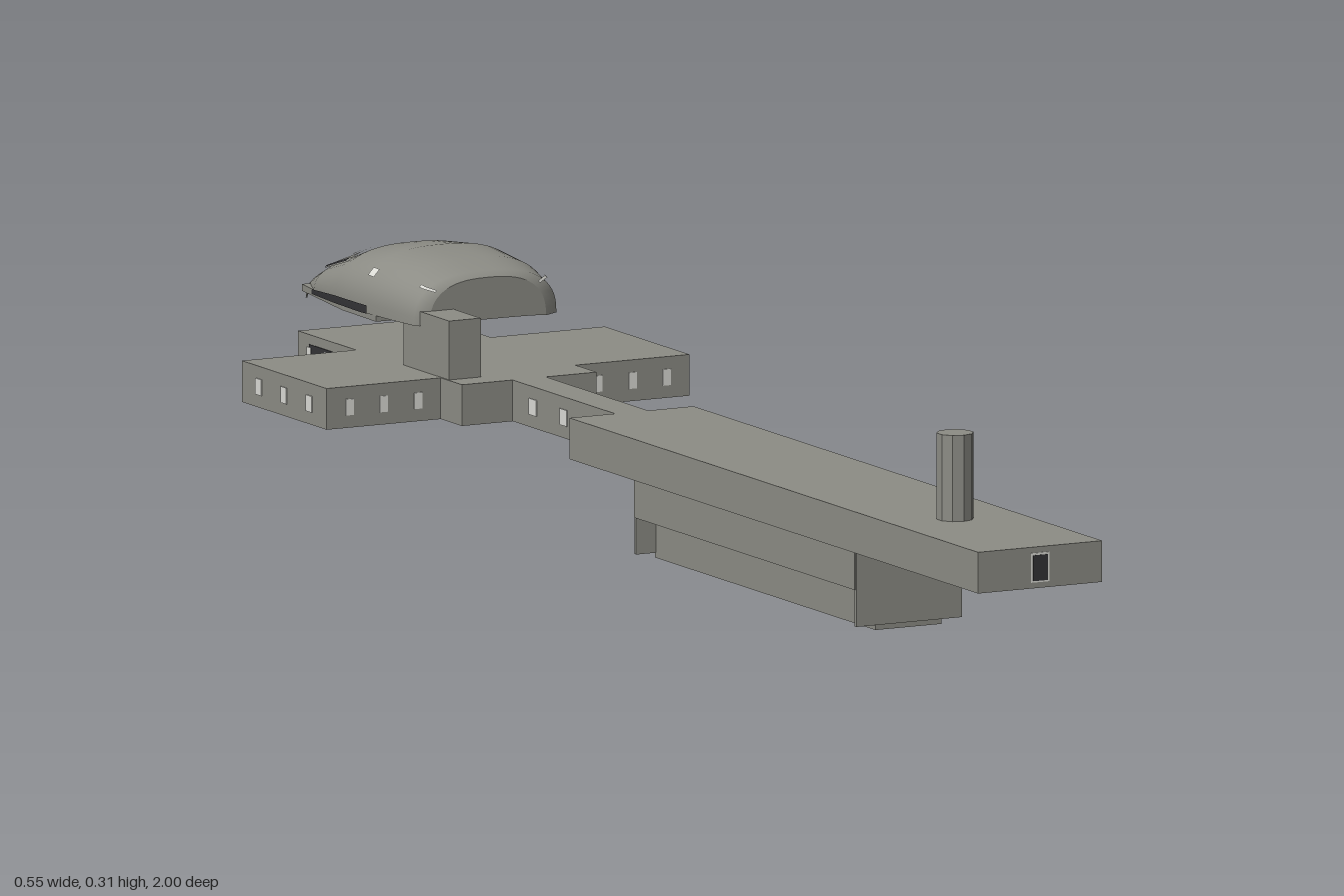
import * as THREE from 'three';

const material = (name, color) => {
  const m = new THREE.MeshStandardMaterial({ color });
  m.name = name;
  return m;
};

// Shuttle sections: z, half width, edge y, top y, underside centre y
const SECTIONS = [
  [-0.567, 0.088, 0.228, 0.287, 0.23],
  [-0.575, 0.108, 0.229, 0.295, 0.23],
  [-0.62, 0.117, 0.23, 0.306, 0.231],
  [-0.70, 0.123, 0.23, 0.311, 0.231],
  [-0.78, 0.118, 0.229, 0.302, 0.23],
  [-0.87, 0.102, 0.225, 0.27, 0.228],
  [-0.92, 0.084, 0.217, 0.25, 0.226],
  [-0.96, 0.066, 0.203, 0.238, 0.222],
  [-1.0, 0.042, 0.195, 0.22, 0.212],
];

function sectionAt(z) {
  let i = 0;
  while (i < SECTIONS.length - 2 && z < SECTIONS[i + 1][0]) i++;
  const a = SECTIONS[i], b = SECTIONS[i + 1];
  const t = (z - a[0]) / (b[0] - a[0]);
  return a.map((n, k) => n + (b[k] - n) * t);
}

// Point on the domed top; u runs from the left edge (+x) over to the right
function domePoint(u, z, lift = 0) {
  const [, w, edge, top] = sectionAt(z);
  const c = Math.cos(Math.PI * u), s = Math.max(0, Math.sin(Math.PI * u));
  return [
    (w + lift) * Math.sign(c) * Math.abs(c) ** 0.77,
    edge + (top - edge + lift) * s ** 0.77,
    z,
  ];
}

// Arched underside below the same edge
function bellyPoint(u, z) {
  const [, , edge, , centre] = sectionAt(z);
  const [x] = domePoint(u, z);
  return [x, edge + (centre - edge) * Math.sin(Math.PI * u), z];
}

// Grid surface from a rule (u, v) -> point
function surface(rule, nu, vs) {
  const positions = [], index = [];
  vs.forEach((v, i) => {
    for (let j = 0; j <= nu; j++) {
      positions.push(...rule(j / nu, v));
      if (i && j) {
        const d = i * (nu + 1) + j, c = d - 1, b = d - nu - 1, a = b - 1;
        index.push(a, c, b, b, c, d);
      }
    }
  });
  const g = new THREE.BufferGeometry();
  g.setAttribute('position', new THREE.Float32BufferAttribute(positions, 3));
  g.setIndex(index);
  g.computeVertexNormals();
  return g;
}

// Horizontal plate from an [x, z] outline
function plate(points, y0, y1) {
  const shape = new THREE.Shape(points.map(([x, z]) => new THREE.Vector2(x, -z)));
  const g = new THREE.ExtrudeGeometry(shape, { depth: y1 - y0, bevelEnabled: false });
  return g.rotateX(-Math.PI / 2).translate(0, y0, 0);
}

export function createModel() {
  const model = new THREE.Group();
  model.name = 'spaceDock';
  const grey = material('warmGrey', 0x8c8c85);
  const dark = material('darkOpening', 0x333336);
  const light = material('paleLight', 0xdcdcd6);

  const add = (name, geometry, mat = grey, parent = model) => {
    const mesh = new THREE.Mesh(geometry, mat);
    mesh.name = name;
    parent.add(mesh);
    return mesh;
  };
  const box = (name, x0, x1, y0, y1, z0, z1, mat) => add(name,
    new THREE.BoxGeometry(x1 - x0, y1 - y0, z1 - z0)
      .translate((x0 + x1) / 2, (y0 + y1) / 2, (z0 + z1) / 2), mat);

  // Long deck, narrow neck and cross-shaped landing platform in one slab
  const half = [
    [0.094, 0.998], [0.094, -0.16], [0.025, -0.16], [0.025, -0.45], [0.102, -0.45],
    [0.102, -0.51], [0.275, -0.51], [0.275, -0.75], [0.102, -0.75], [0.102, -0.915],
  ];
  const outline = [...half, ...half.map(([x, z]) => [-x, z]).reverse()];
  add('deckAndPlatform', plate(outline, 0.112, 0.168));

  // Lit panels on the neck and platform sides, dark bays around the rear arm
  outline.forEach(([x0, z0], i) => {
    const [x1, z1] = outline[(i + 1) % outline.length];
    const length = Math.hypot(x1 - x0, z1 - z0);
    if (Math.max(z0, z1) > -0.1 || length < 0.1) return;
    const strip = (name, t, size, height, depth, mat) => {
      const x = x0 + (x1 - x0) * t, z = z0 + (z1 - z0) * t;
      const [hx, hz] = x0 === x1 ? [depth / 2, size / 2] : [size / 2, depth / 2];
      box(name, x - hx, x + hx, 0.14 - height / 2, 0.14 + height / 2, z - hz, z + hz, mat);
    };
    const rearArm = Math.min(z0, z1) < -0.9;
    if (rearArm) strip('darkBay', 0.5, length * 0.6, 0.03, 0.002, dark);
    for (const t of [0.2, 0.5, 0.8]) strip('litPanel', t, length * 0.07, 0.022, 0.003, light);
  });

  // Faceted mast on the deck
  const mast = new THREE.CylinderGeometry(0.025, 0.025, 0.118, 10).toNonIndexed();
  mast.computeVertexNormals();
  add('mast', mast.translate(0, 0.226, 0.757));

  // Opening with a pale frame on the front end
  box('doorFrame', -0.014, 0.014, 0.12, 0.16, 0.995, 0.9992, light);
  box('doorOpening', -0.011, 0.011, 0.122, 0.157, 0.996, 1, dark);

  // Stepped keel with end plates
  box('keelUpper', -0.082, 0.082, 0.057, 0.113, 0, 0.625);
  box('keelLower', -0.05, 0.05, 0, 0.058, 0, 0.625);
  for (const z of [-0.002, 0.622]) box('keelEndPlate', -0.08, 0.08, 0.007, 0.11, z, z + 0.005);

  // Boarding block beside the shuttle
  box('boardingBlock', -0.1, -0.052, 0.167, 0.248, -0.62, -0.49);

  // Shuttle hull
  const shuttle = new THREE.Group();
  shuttle.name = 'shuttle';
  model.add(shuttle);
  const zs = SECTIONS.map((s) => s[0]);
  const [tail, nose] = [zs[0], zs[zs.length - 1]];
  const mix = (a, b, t) => a.map((n, k) => n + (b[k] - n) * t);
  add('hullTop', surface((u, z) => domePoint(u, z), 32, zs), grey, shuttle);
  add('hullUnderside', surface((u, z) => bellyPoint(1 - u, z), 32, zs), grey, shuttle);
  add('tailFace', surface((u, t) => mix(bellyPoint(u, tail), domePoint(u, tail), t), 32, [0, 1]), grey, shuttle);
  add('noseFace', surface((u, t) => mix(domePoint(u, nose), bellyPoint(u, nose), t), 32, [0, 1]), grey, shuttle);

  // Thin panels that follow the hull
  const panel = (name, u0, u1, z0, z1, lift, mat) => add(name, surface(
    (u, z) => domePoint(u0 + (u1 - u0) * u, z, lift), 12,
    [z0, ...zs.filter((z) => z < z0 && z > z1), z1]), mat, shuttle);
  panel('canopy', 0.22, 0.78, -0.78, -0.92, 0.003, grey);
  // Lamps: position around the hull, z, half size around the hull
  for (const [u, z, r] of [[0.413, -0.83, 0.022], [0.315, -0.79, 0.022], [0.19, -0.68, 0.025], [0.22, -0.57, 0.01]]) {
    for (const c of [u, 1 - u]) panel('lamp', c - r, c + r, z + 0.002, z - 0.013, 0.005, light);
  }
  for (const c of [0.24, 0.76]) panel('canopySideSeam', c - 0.014, c + 0.014, -0.785, -0.9, 0.0045, dark);
  for (const c of [0.012, 0.988]) panel('lowerSeam', c - 0.012, c + 0.012, -0.68, -0.92, 0.002, dark);

  // Side rails along the lower hull edge
  for (const s of [1, -1]) {
    const rail = [[0.09, -0.66], [0.12, -0.66], [0.118, -0.76], [0.096, -0.915], [0.075, -0.915]];
    const pts = rail.map(([x, z]) => [x * s, z]);
    add('sideRail', plate(s > 0 ? pts : pts.reverse(), 0.222, 0.231), grey, shuttle);
  }
  return model;
}
